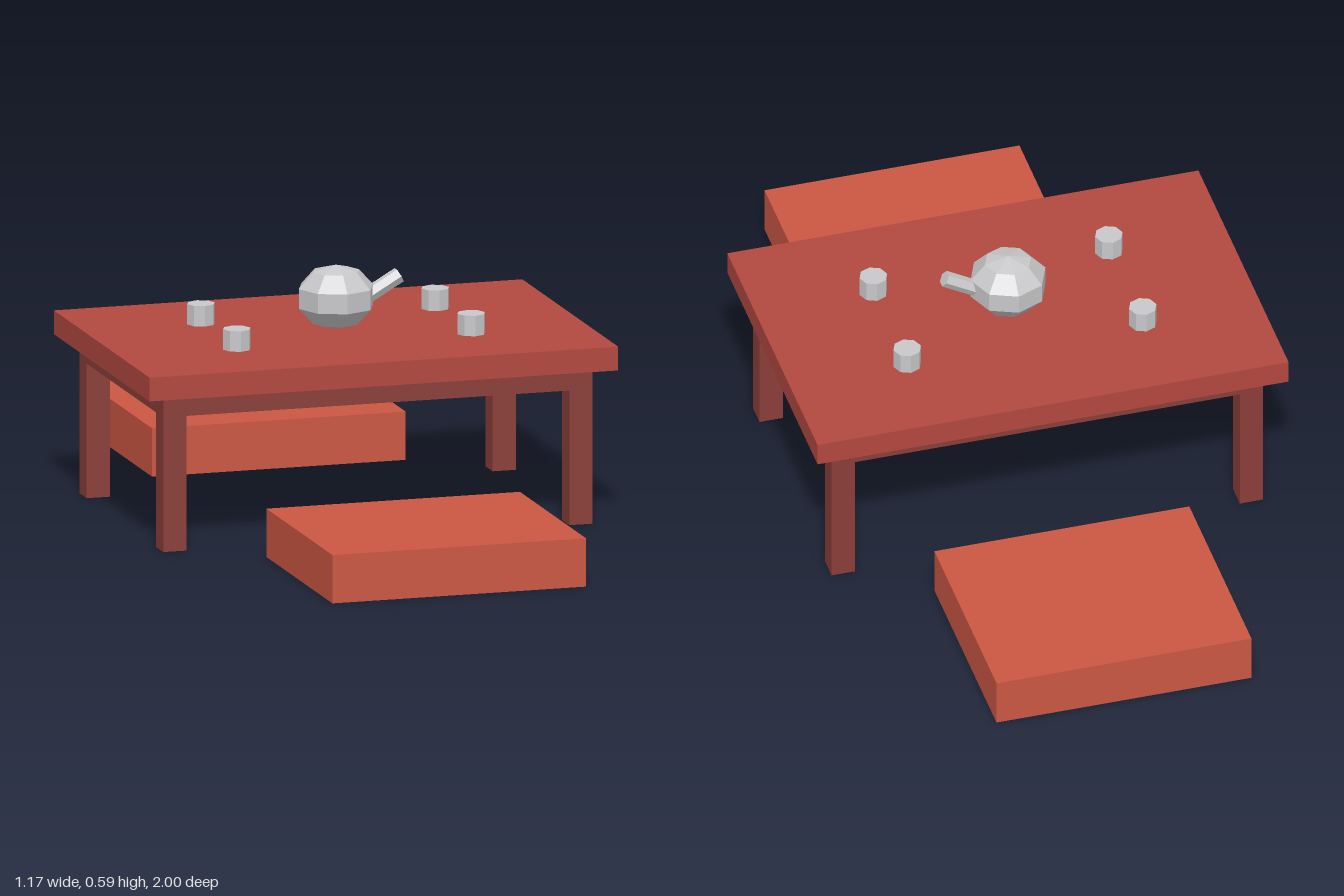
import * as THREE from 'three';

const material = (name, color, flatShading = false) => {
  const m = new THREE.MeshStandardMaterial({ color, flatShading });
  m.name = name;
  return m;
};

export function createModel() {
  const model = new THREE.Group();
  model.name = 'teaTableSet';
  const topWood = material('red wood', 0xb2483f);
  const legWood = material('dark red wood', 0x8b3e39);
  const fabric = material('cushion red', 0xcb5743);
  const metal = material('pale metal', 0xc8c8ca, true);

  const add = (name, geometry, mat, x, y, z, parent = model) => {
    const mesh = new THREE.Mesh(geometry, mat);
    mesh.name = name;
    mesh.position.set(x, y, z);
    parent.add(mesh);
    return mesh;
  };

  // Table: top, under-frame and four legs flush with the frame
  const table = new THREE.Group();
  table.name = 'table';
  model.add(table);
  add('tableTop', new THREE.BoxGeometry(1.168, 0.058, 0.778), topWood, 0, 0.41, 0, table);
  add('underFrame', new THREE.BoxGeometry(1.07, 0.047, 0.68), legWood, 0, 0.352, 0, table);
  const leg = new THREE.BoxGeometry(0.058, 0.33, 0.058);
  const cup = new THREE.CylinderGeometry(0.034, 0.034, 0.05, 8);
  for (const sx of [-1, 1]) {
    for (const sz of [-1, 1]) {
      add('leg', leg, legWood, sx * 0.506, 0.165, sz * 0.311, table);
      add('cup', cup, metal, sx * 0.292, 0.464, sz * 0.146);
    }
  }

  // Floor cushions at front and back
  const cushion = new THREE.BoxGeometry(0.632, 0.118, 0.536);
  for (const sz of [-1, 1]) add('cushion', cushion, fabric, 0, 0.059, sz * 0.732);

  // Teapot: flattened faceted body with a slanted spout
  const teapot = new THREE.Group();
  teapot.name = 'teapot';
  model.add(teapot);
  const body = new THREE.SphereGeometry(0.0975, 8, 5).scale(1, 0.8, 1);
  add('teapotBody', body, metal, 0, 0.517, 0, teapot);
  const spout = add('spout', new THREE.CylinderGeometry(0.0195, 0.0195, 0.117, 6), metal, 0.107, 0.531, 0, teapot);
  spout.rotation.z = -Math.PI / 3;

  return model;
}
